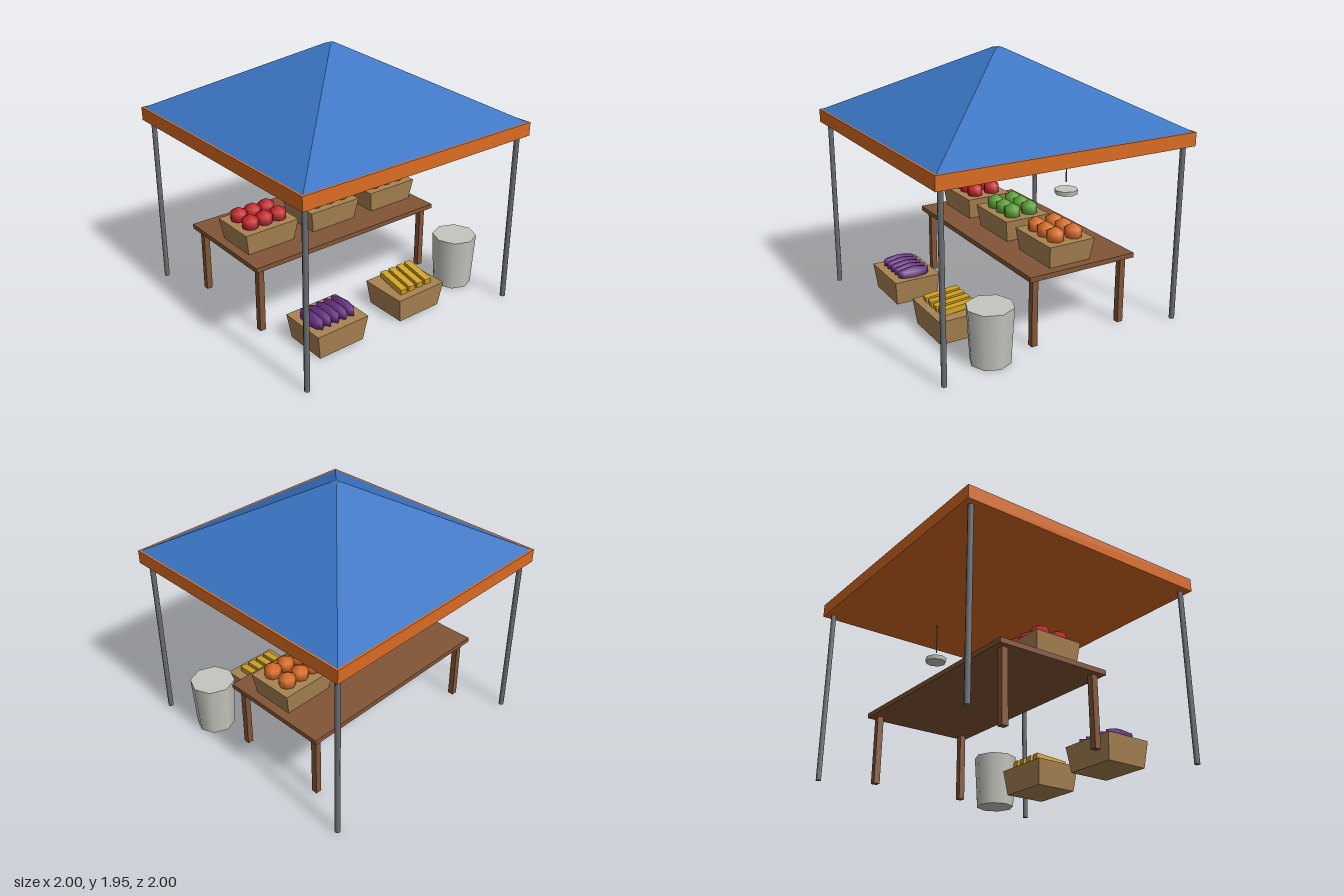
import * as THREE from 'three';

const paint = (name, color) => {
  const m = new THREE.MeshStandardMaterial({ color });
  m.name = name;
  return m;
};

export function createModel() {
  const blue = paint('canopy blue', 0x3a74c2);
  const orange = paint('bright orange', 0xd96b22);
  const steel = paint('pole grey', 0x6a6e73);
  const wood = paint('table brown', 0x825536);
  const tan = paint('crate tan', 0xaa8453);
  const silver = paint('light metal', 0xc6c6c0);
  const red = paint('fruit red', 0xc62328);
  const green = paint('fruit green', 0x5a9e36);
  const purple = paint('vegetable purple', 0x62307e);
  const yellow = paint('fruit yellow', 0xd2a424);

  const model = new THREE.Group();
  model.name = 'marketStall';

  const add = (name, geometry, material, x, y, z, parent = model) => {
    const mesh = new THREE.Mesh(geometry, material);
    mesh.name = name;
    mesh.position.set(x, y, z);
    parent.add(mesh);
    return mesh;
  };

  // Box whose top and bottom differ in size; it stands on y = 0
  const taperedBox = (topW, topD, bottomW, bottomD, height) => {
    const g = new THREE.BoxGeometry(1, height, 1).translate(0, height / 2, 0);
    const p = g.attributes.position;
    for (let i = 0; i < p.count; i++) {
      const top = p.getY(i) > height / 2;
      p.setX(i, p.getX(i) * (top ? topW : bottomW));
      p.setZ(i, p.getZ(i) * (top ? topD : bottomD));
    }
    g.computeVertexNormals();
    return g;
  };

  // Canopy: peaked cloth above a trim slab
  add('canopyRoof', taperedBox(0.055, 0.055, 1.97, 1.97, 0.53), blue, 0, 1.42, 0);
  add('canopyTrim', new THREE.BoxGeometry(2, 0.1, 2), orange, 0, 1.37, 0);

  // Corner poles and table legs
  const poleGeometry = new THREE.CylinderGeometry(0.02, 0.02, 1.32, 8);
  const legGeometry = new THREE.BoxGeometry(0.046, 0.51, 0.046);
  for (const sx of [-1, 1]) {
    for (const sz of [-1, 1]) {
      add('pole', poleGeometry, steel, sx * 0.94, 0.66, sz * 0.94);
      add('tableLeg', legGeometry, wood, sx * 0.775, 0.255, -0.2 + sz * 0.37);
    }
  }
  add('tableTop', new THREE.BoxGeometry(1.675, 0.036, 0.87), wood, 0, 0.527, -0.2);

  // Crates on the table, each with two rows of three round fruits
  const tableCrate = taperedBox(0.45, 0.37, 0.395, 0.33, 0.163);
  const fruitGeometry = new THREE.SphereGeometry(0.07, 8, 3);
  [['red', red], ['green', green], ['orange', orange]].forEach(([label, material], i) => {
    const group = new THREE.Group();
    group.name = label + 'FruitCrate';
    group.position.set((i - 1) * 0.572, 0.545, -0.13);
    model.add(group);
    add('crate', tableCrate, tan, 0, 0, 0, group);
    for (const x of [-0.12, 0, 0.12]) {
      for (const z of [-0.075, 0.075]) add('fruit', fruitGeometry, material, x, 0.194, z, group);
    }
  });

  // Crates on the ground
  const groundCrate = taperedBox(0.44, 0.37, 0.38, 0.33, 0.19);
  const crateAt = (name, x) => {
    const group = new THREE.Group();
    group.name = name;
    group.position.set(x, 0, 0.555);
    model.add(group);
    add('crate', groundCrate, tan, 0, 0, 0, group);
    return group;
  };

  // Long purple vegetables
  const purpleCrate = crateAt('purpleVegetableCrate', -0.473);
  const longGeometry = new THREE.SphereGeometry(0.054, 8, 3).scale(1, 1, 2.7);
  for (let i = -2; i <= 2; i++) {
    add('longVegetable', longGeometry, purple, i * 0.068, 0.212, 0, purpleCrate);
  }

  // Yellow bars, slightly turned and raised at the back
  const yellowCrate = crateAt('yellowFruitCrate', 0.265);
  const barGeometry = new THREE.BoxGeometry(0.055, 0.045, 0.26);
  for (let i = 0; i < 4; i++) {
    const bar = add('yellowFruit', barGeometry, yellow, 0.005 + (i - 1.5) * 0.08, 0.224, 0, yellowCrate);
    bar.rotation.set(0.12, -0.09, 0);
  }

  // Metal bin
  add('bin', new THREE.CylinderGeometry(0.168, 0.145, 0.405, 8), silver, 0.805, 0.2025, 0.527);

  // Hanging scale: cord and pan
  add('scaleCord', new THREE.CylinderGeometry(0.005, 0.005, 0.24, 6), steel, 0.6, 1.2, -0.2);
  add('scalePan', new THREE.CylinderGeometry(0.084, 0.08, 0.033, 8), silver, 0.602, 1.0135, -0.2);

  return model;
}
